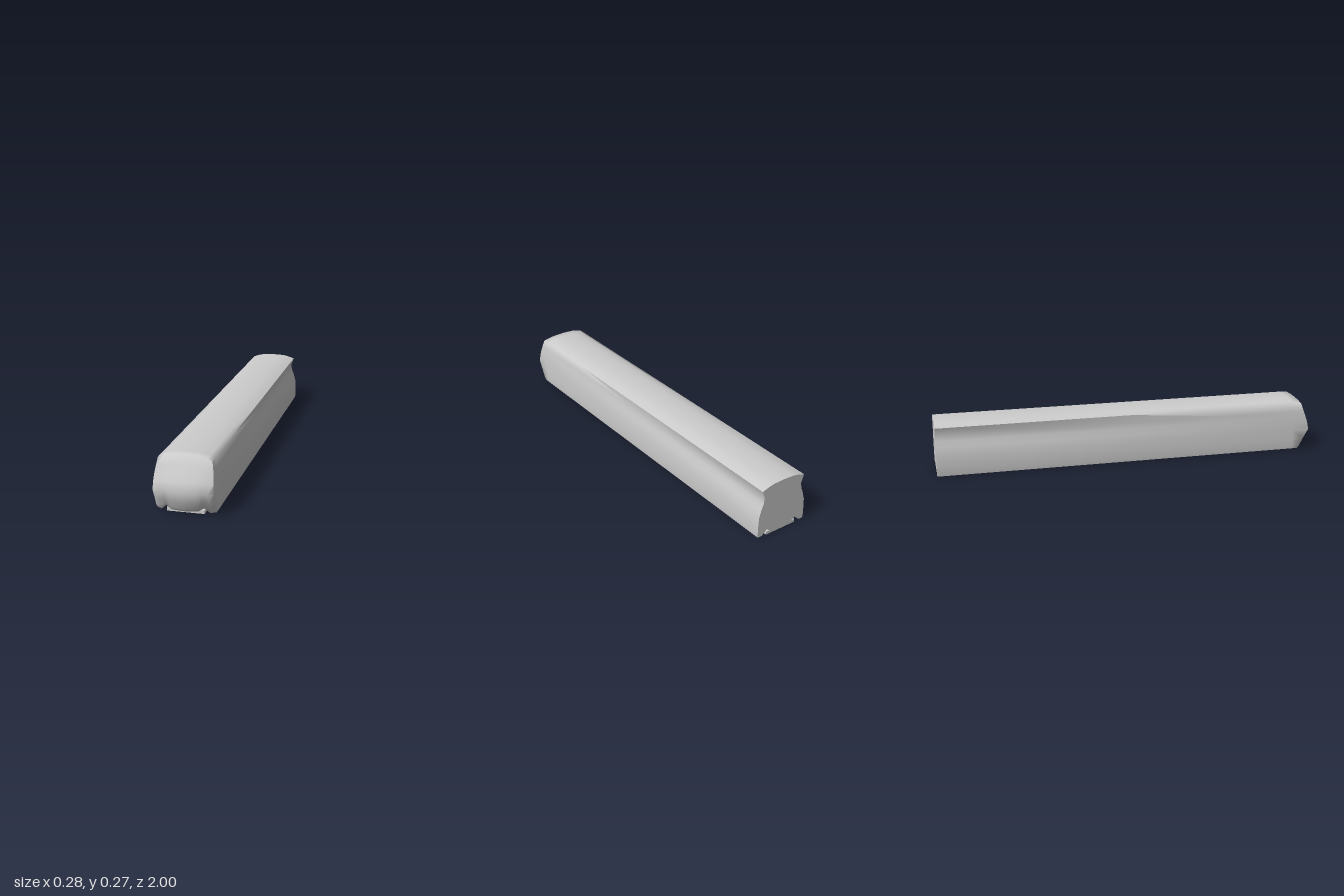
import * as THREE from 'three';
import { toCreasedNormals } from 'three/addons/utils/BufferGeometryUtils.js';

// Height rows of the shell: half widths near the nose and at the rear, and nose depth
const rowY = [0.005, 0.02, 0.06, 0.11, 0.15, 0.18, 0.21, 0.25];
const frontW = [0.137, 0.139, 0.139, 0.139, 0.1375, 0.135, 0.131, 0.124];
const rearW = [0.137, 0.139, 0.139, 0.137, 0.126, 0.114, 0.11, 0.124];
const noseZ = [0.955, 0.965, 0.98, 1.0, 0.985, 0.97, 0.955, 0.935];

// Columns across the width, with the rise of the underside recess and of the roof
const colS = [-1, -0.82, -0.63, -0.45, 0, 0.45, 0.63, 0.82, 1];
const recess = [0, 0, 0.025, 0.01, 0.01, 0.01, 0.025, 0, 0];
const crown = [0, 0.008, 0.014, 0.018, 0.02, 0.018, 0.014, 0.008, 0];
const COLS = colS.length - 1, ROWS = rowY.length - 1;

// Point of the section; z = null gives the curved nose face
function point(i, j, z) {
  const t = (rowY[j] - rowY[0]) / (rowY[ROWS] - rowY[0]);
  const f = z === null ? 1 : Math.min(1, (z + 1) / 1.88);
  const x = colS[i] * THREE.MathUtils.lerp(rearW[j], frontW[j], f);
  const rise = recess[i] * (1 - t) ** 4 + crown[i] * t * t;
  const nose = noseZ[j] - 2.4 * x * x * (1 - 0.8 * t) - 0.8 * rise * t;
  return [x, rowY[j] + rise, z === null ? nose : z];
}

// Grid indices around the section, counterclockwise from the front
function perimeter() {
  const loop = [];
  for (let i = 0; i < COLS; i++) loop.push([i, 0]);
  for (let j = 0; j < ROWS; j++) loop.push([COLS, j]);
  for (let i = COLS; i > 0; i--) loop.push([i, ROWS]);
  for (let j = ROWS; j > 0; j--) loop.push([0, j]);
  return loop;
}

function shellGeometry() {
  const pos = [];
  const quad = (a, b, c, d) => pos.push(...a, ...b, ...c, ...a, ...c, ...d);

  // Long walls, roof and underside
  const loop = perimeter();
  const stations = [-1, -0.5, 0, 0.5, 0.88, null];
  for (let k = 0; k < stations.length - 1; k++) {
    const z0 = stations[k], z1 = stations[k + 1];
    loop.forEach((p, n) => {
      const q = loop[(n + 1) % loop.length];
      quad(point(...p, z0), point(...q, z0), point(...q, z1), point(...p, z1));
    });
  }

  // Curved nose face and flat rear face
  for (let i = 0; i < COLS; i++) {
    for (let j = 0; j < ROWS; j++) {
      quad(point(i, j, null), point(i + 1, j, null), point(i + 1, j + 1, null), point(i, j + 1, null));
      quad(point(i + 1, j, -1), point(i, j, -1), point(i, j + 1, -1), point(i + 1, j + 1, -1));
    }
  }

  const geo = new THREE.BufferGeometry();
  geo.setAttribute('position', new THREE.Float32BufferAttribute(pos, 3));
  return toCreasedNormals(geo, 1.2);
}

export function createModel() {
  const group = new THREE.Group();
  group.name = 'railCar';
  const material = new THREE.MeshStandardMaterial({ color: 0xcccccc });

  const shell = new THREE.Mesh(shellGeometry(), material);
  shell.name = 'carBody';
  group.add(shell);

  // Flat strip along the underside
  const strip = new THREE.Mesh(new THREE.BoxGeometry(0.174, 0.016, 1.929), material);
  strip.name = 'underframe';
  strip.position.set(0, 0.008, -0.0345);
  group.add(strip);

  return group;
}
